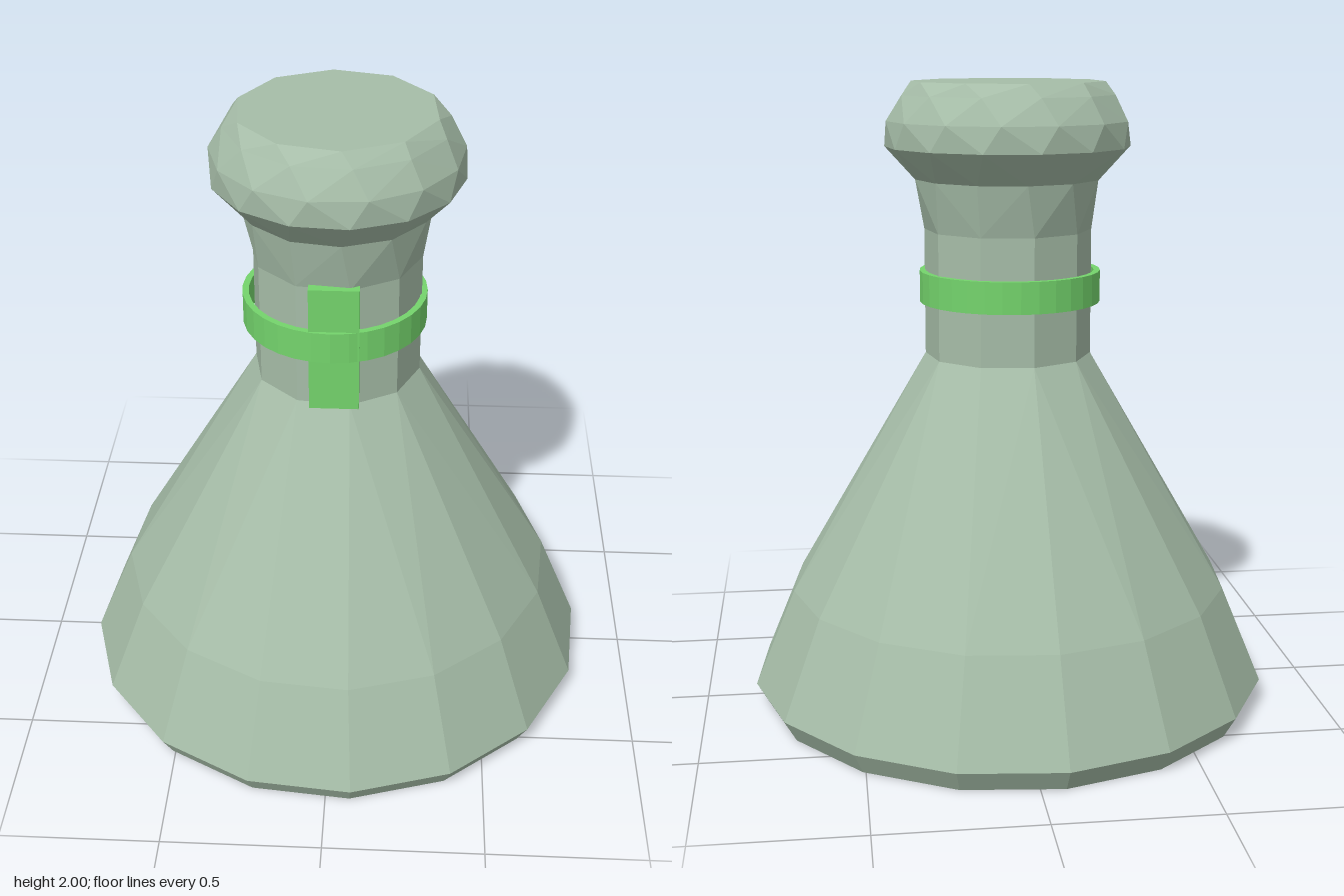
import * as THREE from 'three';

const glass = new THREE.MeshStandardMaterial({ color: 0xa6bda8, flatShading: true });
const green = new THREE.MeshStandardMaterial({ color: 0x74d46c, flatShading: true });

// Stitches horizontal rings [height, radius, sides, phase in degrees], listed from
// bottom to top, into one faceted skin; neighbouring rings may differ in sides.
function stitchRings(rings, closeBottom, closeTop) {
  const pos = [];
  const angle = (r, i) => THREE.MathUtils.degToRad(r[3]) + (i / r[2]) * Math.PI * 2;
  const point = (r, i) => [r[1] * Math.sin(angle(r, i % r[2])), r[0], r[1] * Math.cos(angle(r, i % r[2]))];
  for (let k = 0; k < rings.length - 1; k++) {
    const a = rings[k], b = rings[k + 1];
    let i = 0, j = 0;
    while (i < a[2] || j < b[2]) {
      const lowerNext = j >= b[2] ||
        (i < a[2] && angle(a, i + 0.5) <= angle(b, j + 0.5));
      if (lowerNext) {
        pos.push(...point(a, i), ...point(a, i + 1), ...point(b, j));
        i++;
      } else {
        pos.push(...point(a, i), ...point(b, j + 1), ...point(b, j));
        j++;
      }
    }
  }
  const close = (r, up) => {
    for (let i = 0; i < r[2]; i++) {
      const p = point(r, i), q = point(r, i + 1);
      pos.push(0, r[0], 0, ...(up ? p : q), ...(up ? q : p));
    }
  };
  if (closeBottom) close(rings[0], false);
  if (closeTop) close(rings[rings.length - 1], true);
  const geo = new THREE.BufferGeometry();
  geo.setAttribute('position', new THREE.Float32BufferAttribute(pos, 3));
  geo.computeVertexNormals();
  return geo;
}

export function createModel() {
  const group = new THREE.Group();
  const add = (name, geo, mat, x = 0, y = 0, z = 0) => {
    const mesh = new THREE.Mesh(geo, mat);
    mesh.name = name;
    mesh.position.set(x, y, z);
    group.add(mesh);
  };

  // Conical body with a chamfered foot, running into the neck
  add('flaskBody', stitchRings([
    [0, 0.8, 16, 5.5],
    [0.07, 0.84, 16, 5.5],
    [0.38, 0.71, 16, 5.5],
    [1.14, 0.265, 10, 11],
    [1.54, 0.265, 10, 11],
    [1.7, 0.295, 12, 5],
  ], true, false), glass);

  // Bulging faceted lip with a flat top
  add('lip', stitchRings([
    [1.7, 0.295, 12, 5],
    [1.8, 0.387, 14, 8],
    [1.88, 0.383, 14, 16],
    [1.96, 0.34, 12, 10],
    [2, 0.305, 10, 5],
  ], true, true), glass);

  // Thin hoop around the neck
  const hoop = [[0.268, 1.31], [0.288, 1.31], [0.288, 1.41], [0.268, 1.41], [0.268, 1.31]]
    .map(([r, y]) => new THREE.Vector2(r, y));
  add('neckBand', new THREE.LatheGeometry(hoop, 32), green, -0.007, 0, 0.007);

  // Upright tag held by the hoop at the front
  add('frontTag', new THREE.BoxGeometry(0.152, 0.41, 0.04), green, 0.003, 1.345, 0.262);

  return group;
}
